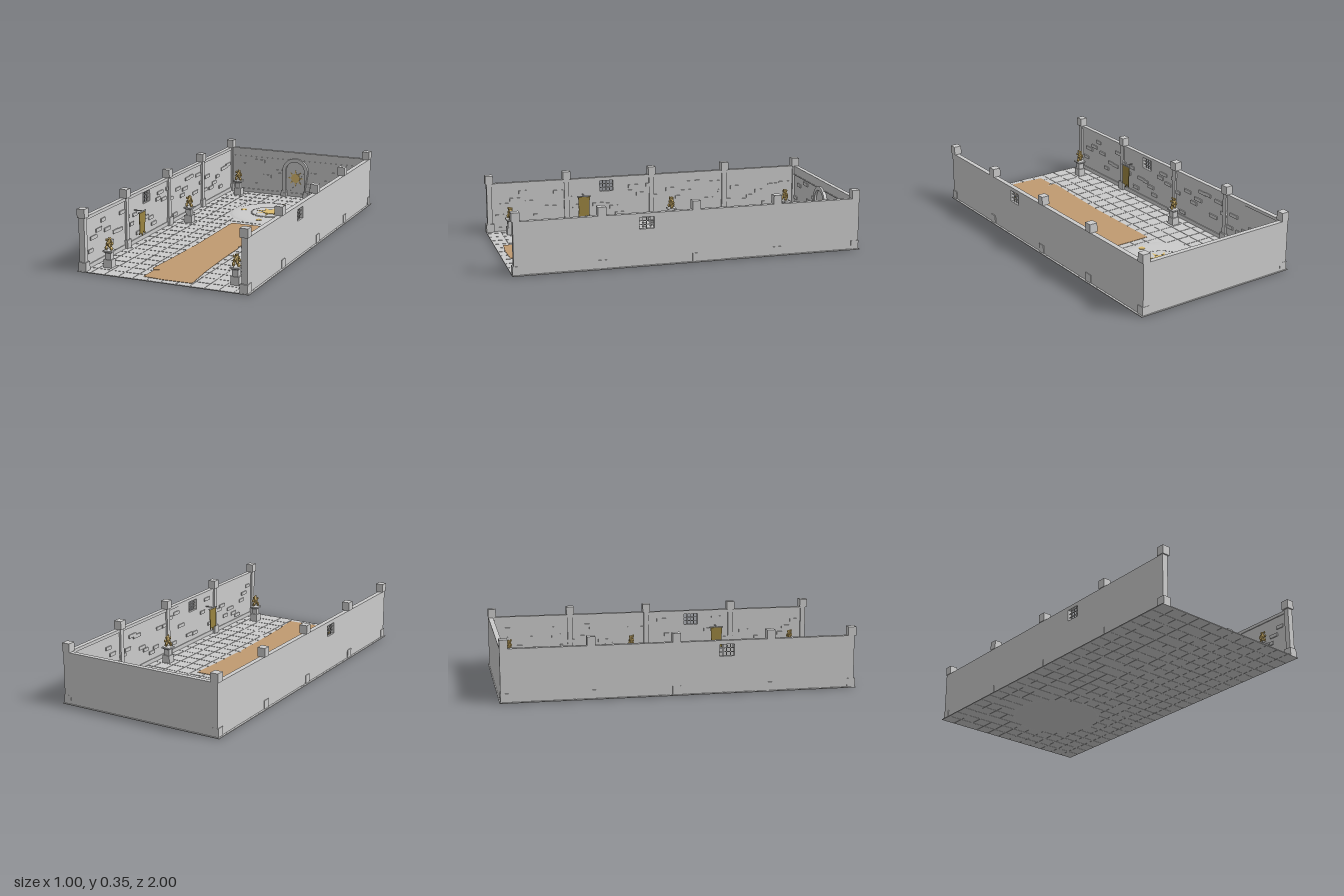
import * as THREE from 'three';
import { mergeGeometries } from 'three/addons/utils/BufferGeometryUtils.js';

const mat = (color, extra = {}) => new THREE.MeshStandardMaterial({ color, ...extra });
const stone = mat(0xcccccc, { flatShading: true });
const smoothStone = mat(0xcccccc);
const gold = mat(0xdcbc70, { flatShading: true });
const cloth = mat(0xc09a70, { side: THREE.DoubleSide });
const bannerCloth = mat(0x9a8440, { side: THREE.DoubleSide });

let seed = 7;
const rand = () => (seed = (seed * 16807) % 2147483647) / 2147483647;

const box = (w, h, d, x, y, z) => new THREE.BoxGeometry(w, h, d).translate(x, y, z);
// box standing on a given height
const block = (w, y0, y1, d, x = 0, z = 0) => box(w, y1 - y0, d, x, (y0 + y1) / 2, z);

function add(parent, name, geometry, material = stone) {
  const mesh = new THREE.Mesh(Array.isArray(geometry) ? mergeGeometries(geometry) : geometry, material);
  mesh.name = name;
  parent.add(mesh);
  return mesh;
}

const polygon = (pts) => new THREE.Shape(pts.map(([x, y]) => new THREE.Vector2(x, y)));
const extrude = (shape, depth) =>
  new THREE.ExtrudeGeometry(shape, { depth, bevelEnabled: false, curveSegments: 20 });

// disc with eight tapering rays, facing +z
function sunGeometry(r, tip) {
  const parts = [extrude(new THREE.Shape().absarc(0, 0, r, 0, Math.PI * 2), 0.004)];
  for (let i = 0; i < 8; i++) {
    const w = r * 0.2;
    const ray = polygon([[-w, r * 1.12], [w, r * 1.12], [0, tip]]);
    parts.push(extrude(ray, 0.003).rotateZ((i * Math.PI) / 4));
  }
  return mergeGeometries(parts);
}

function createFloor() {
  const g = new THREE.Group();
  g.name = 'floor';
  add(g, 'floorSlab', block(0.99, 0.003, 0.005, 1.99));
  const tiles = [];
  const nx = 12, nz = 24, step = 1 / 12;
  for (let i = 0; i < nx; i++) {
    for (let j = 0; j < nz; j++) {
      const top = 0.0062 + rand() * 0.001;
      const gap = 0.005 + rand() * 0.003;
      tiles.push(block(step - gap, 0.002, top, step - gap, (i + 0.5) * step - 0.5, (j + 0.5) * step - 1));
    }
  }
  add(g, 'floorTiles', tiles);
  add(g, 'floorBorder', [
    block(0.008, 0.002, 0.007, 2, -0.496), block(0.008, 0.002, 0.007, 2, 0.496),
    block(0.992, 0.002, 0.007, 0.006, 0, 0.997), block(0.992, 0.002, 0.007, 0.006, 0, -0.997),
  ]);
  return g;
}

function createDais() {
  const g = new THREE.Group();
  g.name = 'dais';
  const profile = [[0, 0], [0.19, 0.0003], [0.245, 0.001], [0.264, 0.003], [0.258, 0.005], [0.243, 0.0085],
    [0.232, 0.011], [0.2, 0.012], [0.123, 0.0125], [0, 0.0125]];
  add(g, 'daisPlatform',
    new THREE.LatheGeometry(profile.map(([x, y]) => new THREE.Vector2(x, y)), 64), smoothStone);
  add(g, 'daisCentre', new THREE.CylinderGeometry(0.115, 0.119, 0.004, 48).translate(0, 0.0142, 0));
  // notched rim around the centre
  const studs = [];
  for (let i = 0; i < 40; i++) studs.push(box(0.013, 0.003, 0.004, 0, 0.0135, 0.121).rotateY((i * Math.PI) / 20));
  add(g, 'daisRim', studs);
  add(g, 'daisSun', sunGeometry(0.049, 0.093).rotateX(-Math.PI / 2).translate(0, 0.0152, 0), gold);
  for (let i = 0; i < 4; i++) {
    const a = (i * Math.PI) / 2;
    add(g, 'daisStud', new THREE.CylinderGeometry(0.018, 0.018, 0.004, 20)
      .translate(Math.cos(a) * 0.18, 0.0125, Math.sin(a) * 0.19), gold);
  }
  g.position.z = -0.513;
  return g;
}

function createPillar(x, z) {
  const g = new THREE.Group();
  g.name = 'pillar';
  add(g, 'pillarBase', block(0.046, 0.004, 0.055, 0.046));
  add(g, 'pillarShaft', block(0.03, 0.055, 0.3, 0.03));
  add(g, 'pillarCap', block(0.046, 0.3, 0.35, 0.046));
  g.position.set(x, 0, z);
  return g;
}

function createBrazier(x, z) {
  const g = new THREE.Group();
  g.name = 'brazier';
  add(g, 'pedestal', [
    block(0.048, 0.005, 0.052, 0.048), block(0.034, 0.052, 0.087, 0.034), block(0.054, 0.094, 0.102, 0.054),
    new THREE.CylinderGeometry(0.036, 0.024, 0.007, 4).rotateY(Math.PI / 4).translate(0, 0.0905, 0),
  ]);
  // clustered flame tongues
  const flames = [new THREE.OctahedronGeometry(0.012, 1).scale(1, 2.4, 1).translate(0, 0.145, 0)];
  for (let i = 0; i < 12; i++) {
    const a = i * 2.4, t = i / 11, r = 0.013 + 0.004 * Math.sin(i * 1.7);
    flames.push(new THREE.OctahedronGeometry(0.0095 - 0.004 * t, 1).scale(1, 1.4, 1)
      .translate(Math.cos(a) * r, 0.11 + t * 0.058, Math.sin(a) * r));
  }
  add(g, 'flame', flames, gold);
  g.position.set(x, 0, z);
  return g;
}

function createSideWall(s) {
  const g = new THREE.Group();
  g.name = s > 0 ? 'leftWall' : 'rightWall';
  // wall with a window opening, drawn in z and y
  const [z0, z1, y0, y1] = [0.213, 0.297, 0.212, 0.278];
  const shape = polygon([[-0.99, 0.004], [0.99, 0.004], [0.99, 0.3], [-0.99, 0.3]]);
  shape.holes.push(polygon([[z0, y0], [z0, y1], [z1, y1], [z1, y0]]));
  add(g, 'wallPanel', extrude(shape, 0.023).rotateY(-Math.PI / 2).translate(s > 0 ? 0.488 : -0.465, 0, 0));
  const bars = [];
  for (let i = 1; i < 4; i++) bars.push(box(0.005, y1 - y0, 0.004, s * 0.477, (y0 + y1) / 2, z0 + (z1 - z0) * i / 4));
  for (let i = 1; i < 3; i++) bars.push(box(0.005, 0.004, z1 - z0, s * 0.477, y0 + (y1 - y0) * i / 3, (z0 + z1) / 2));
  add(g, 'windowBars', bars);
  add(g, 'wallTrim', [block(0.006, 0.282, 0.3, 1.96, s * 0.463), block(0.006, 0.005, 0.03, 1.96, s * 0.463)]);
  // raised bricks, kept clear of the window
  const bricks = [];
  for (let i = 0; i < 40; i++) {
    const z = -0.92 + i * 0.047 + rand() * 0.02, y = 0.05 + rand() * 0.2;
    if (y > 0.18 && z > 0.15 && z < 0.36) continue;
    bricks.push(box(0.01, 0.02, 0.045 + rand() * 0.025, s * 0.464, y, z));
  }
  add(g, 'wallBricks', bricks);
  for (const z of [-0.972, -0.5, -0.028, 0.505, 0.975]) g.add(createPillar(s * 0.469, z));
  // hanging banner with a ragged hem
  const banner = polygon([[-0.036, 0.195], [0.036, 0.195], [0.033, 0.12], [0.036, 0.07], [0.016, 0.078],
    [0.002, 0.055], [-0.012, 0.08], [-0.03, 0.064], [-0.032, 0.12]]);
  add(g, 'banner', extrude(banner, 0.004).rotateY(-Math.PI / 2).translate(s * 0.415 + 0.002, 0, 0.407), bannerCloth);
  add(g, 'bannerRod', new THREE.CylinderGeometry(0.004, 0.004, 0.085, 8).rotateX(Math.PI / 2)
    .translate(s * 0.415, 0.199, 0.407));
  add(g, 'bannerBracket', box(0.05, 0.005, 0.005, s * 0.44, 0.203, 0.407));
  return g;
}

function createBackWall() {
  const g = new THREE.Group();
  g.name = 'backWall';
  add(g, 'backPanel', block(0.976, 0.004, 0.3, 0.022, 0, -0.983));
  add(g, 'backTrim', [block(0.93, 0.25, 0.3, 0.008, 0, -0.97), block(0.93, 0.244, 0.25, 0.011, 0, -0.969),
    block(0.93, 0.005, 0.03, 0.007, 0, -0.97)]);
  const spots = [[-0.262, 0.222], [-0.372, 0.191], [-0.285, 0.063], [0.274, 0.178], [0.124, 0.163], [0.112, 0.066],
    [0.107, 0.088], [-0.43, 0.1], [0.34, 0.152], [-0.12, 0.165], [-0.11, 0.143], [-0.21, 0.125], [0.215, 0.12]];
  add(g, 'backBricks', spots.map(([x, y], i) => box(i % 3 ? 0.055 : 0.068, 0.02, 0.01, x, y, -0.971)));
  return g;
}

function createArch() {
  const g = new THREE.Group();
  g.name = 'archway';
  const spring = 0.174, outer = 0.088, inner = 0.065;
  const frame = new THREE.Shape().moveTo(outer, 0.045);
  frame.absarc(0, spring, outer, 0, Math.PI);
  frame.lineTo(-outer, 0.045).lineTo(-inner, 0.045);
  frame.absarc(0, spring, inner, Math.PI, 0, true);
  frame.lineTo(inner, 0.045);
  add(g, 'archFrame', extrude(frame, 0.022));
  const door = new THREE.Shape().moveTo(inner, 0.005);
  door.absarc(0, spring, inner, 0, Math.PI);
  door.lineTo(-inner, 0.005);
  add(g, 'archPanel', extrude(door, 0.008));
  for (const s of [-1, 1]) {
    add(g, 'archFoot', [block(0.04, 0.005, 0.03, 0.03, s * 0.0765, 0.013), block(0.034, 0.03, 0.045, 0.026, s * 0.0765, 0.012)]);
  }
  add(g, 'archSun', sunGeometry(0.03, 0.056).translate(0, 0.13, 0.007), gold);
  g.position.set(-0.01, 0, -0.975);
  return g;
}

// worn runner with a torn edge, outline in x and z
function createCarpet(root) {
  const outline = [[-0.127, -0.206], [0.138, -0.206], [0.13, 0.05], [0.125, 0.22], [0.112, 0.25], [0.125, 0.27],
    [0.128, 0.5], [0.14, 0.75], [0.16, 0.955], [0, 0.96], [-0.127, 0.95], [-0.127, 0.835], [-0.085, 0.803],
    [-0.132, 0.822], [-0.148, 0.8], [-0.135, 0.55], [-0.125, 0.3]];
  add(root, 'carpet', extrude(polygon(outline), 0.002).rotateX(Math.PI / 2).translate(0, 0.0095, 0), cloth);
}

export function createModel() {
  seed = 7;
  const root = new THREE.Group();
  root.name = 'throneHall';
  root.add(createFloor(), createDais(), createBackWall(), createArch(), createSideWall(1), createSideWall(-1));
  createCarpet(root);
  for (const [x, z] of [[-0.376, -0.878], [0.392, -0.878], [-0.376, -0.132], [0.392, -0.132], [-0.376, 0.865], [0.372, 0.865]]) {
    root.add(createBrazier(x, z));
  }
  return root;
}
